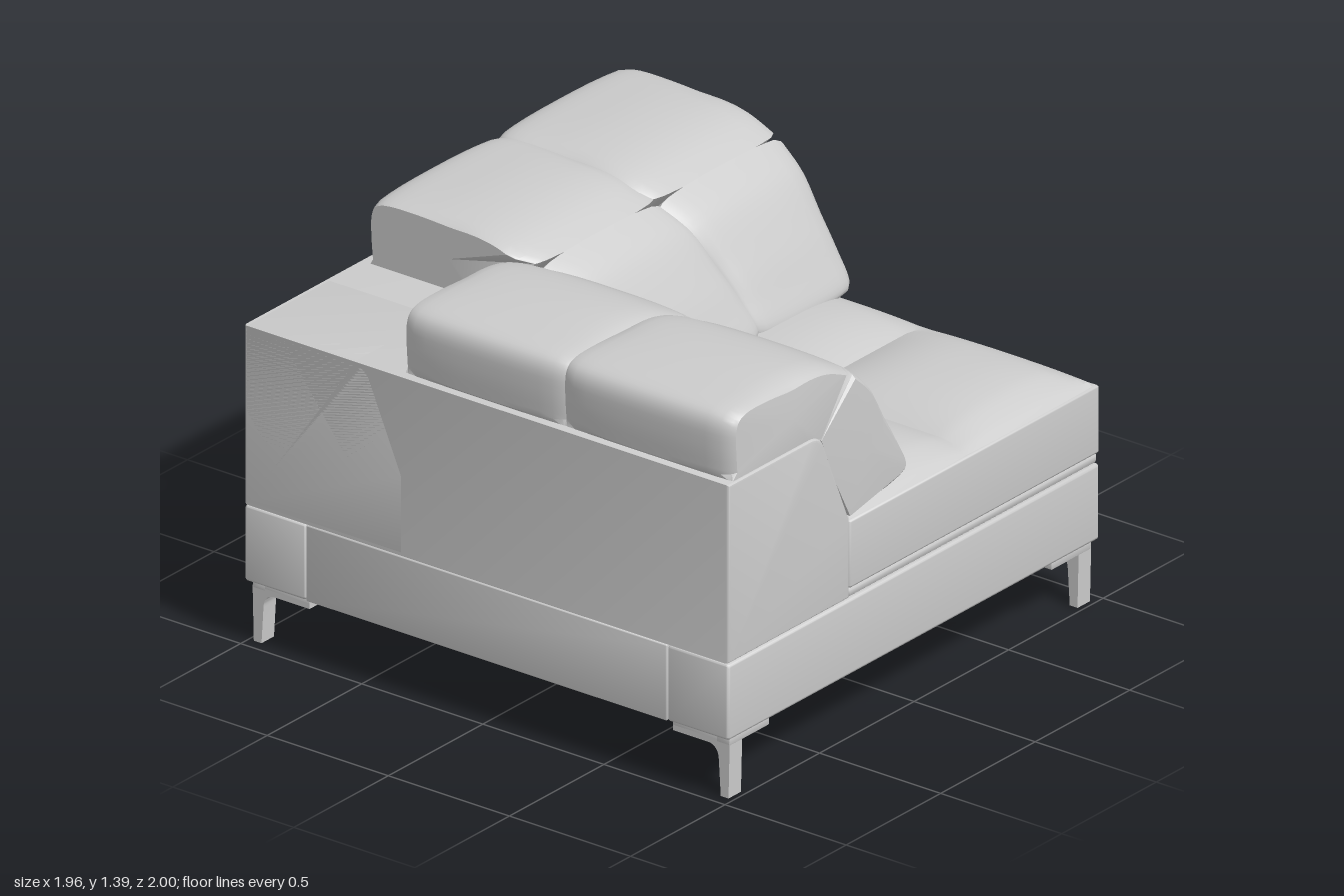
import * as THREE from 'three';
import { toCreasedNormals } from 'three/addons/utils/BufferGeometryUtils.js';
import { RoundedBoxGeometry } from 'three/addons/geometries/RoundedBoxGeometry.js';

const material = new THREE.MeshStandardMaterial({ color: 0xcccccc, side: THREE.DoubleSide });
// Half width, half depth, cushion seam, inner cushion end
const W = 0.982, D = 1, SEAM = 0.3, INNER = -0.36;

// Swap x and z, keeping faces outward
function diagonal(geometry) {
  const g = geometry.index ? geometry.toNonIndexed() : geometry.clone();
  const src = g.attributes.position.clone(), dst = g.attributes.position;
  for (let i = 0; i < src.count; i++) {
    const k = i % 3 === 0 ? i : i % 3 === 1 ? i + 1 : i - 1;
    dst.setXYZ(i, src.getZ(k), src.getY(k), src.getX(k));
  }
  return g;
}

// Loft a stuffed pad pair along z: outer curve sinks at the seam and the ends
function padGeometry(outer, base, centre, end) {
  const curve = new THREE.SplineCurve(outer.map(p => new THREE.Vector2(...p))).getPoints(32);
  const loop = [...curve, ...base.map(p => new THREE.Vector2(...p))];
  const n = loop.length, steps = 12, c = new THREE.Vector2(...centre);
  const pos = [], idx = [], stations = [];
  const place = (p, z) => {
    const z0 = Math.max(p.x, INNER);             // mitred inner end
    return z0 + (z - INNER) / (end - INNER) * (end - 0.01 - z0);
  };
  for (const [a, b] of [[INNER, SEAM], [SEAM, end]]) {
    for (let k = a === INNER ? 0 : 1; k <= steps; k++) {
      const u = 0.5 - 0.5 * Math.cos(Math.PI * k / steps), z = a + (b - a) * u;
      const w = Math.abs(2 * u - 1), tip = Math.max(0, (w - 0.88) / 0.12) ** 2;
      const depth = z > 0.88 ? 0.024 : 0.01;
      stations.push({ z, inset: 0.018 * w ** 3 + depth * tip });
    }
  }
  for (const { z, inset } of stations) {
    loop.forEach((p, i) => {
      const q = p.clone();
      if (i < curve.length) q.add(c.clone().sub(p).normalize().multiplyScalar(inset));
      pos.push(q.x, q.y, place(p, z));
    });
  }
  const last = (stations.length - 1) * n;
  for (let i = 0; i < n; i++) {
    const e = (i + 1) % n;
    for (let j = 0; j < last; j += n) idx.push(j + i, j + n + i, j + e, j + e, j + n + i, j + n + e);
    idx.push(last + n, i, e, last + n + 1, last + e, last + i);
  }
  pos.push(c.x, c.y, place(c, INNER), c.x, c.y, end);
  const g = new THREE.BufferGeometry();
  g.setAttribute('position', new THREE.Float32BufferAttribute(pos, 3));
  g.setIndex(idx);
  return g;
}

function extrude(shape, depth, bevel) {
  const g = new THREE.ExtrudeGeometry(shape, {
    depth: depth - 2 * bevel, bevelEnabled: bevel > 0, bevelThickness: bevel,
    bevelSize: bevel, bevelOffset: -bevel, bevelSegments: 3, curveSegments: 8,
  });
  return g.translate(0, 0, -depth / 2 + bevel);
}

// Sloped frame section, from its outer face at x = -edge to the seat
function frameGeometry(edge, half) {
  const s = new THREE.Shape();
  s.moveTo(-edge, 0.497);
  s.lineTo(-0.34, 0.497);
  s.lineTo(-0.34, 0.785);
  s.lineTo(-0.47, 1.09);
  s.quadraticCurveTo(-0.49, 1.14, -0.545, 1.14);
  s.lineTo(-edge, 1.14);
  return extrude(s, 2 * half, 0.012);
}

const headGeometry = (edge, end) => padGeometry(
  [[0.02 - edge, 1.15], [0.012 - edge, 1.25], [0.018 - edge, 1.335], [0.065 - edge, 1.375], [-0.79, 1.389],
    [-0.65, 1.393], [-0.515, 1.383], [-0.405, 1.356], [-0.303, 1.305]],
  [[-0.477, 1.118], [-0.545, 1.137], [0.035 - edge, 1.137]], [-0.64, 1.25], end);

const lumbarGeometry = end => padGeometry(
  [[-0.305, 1.31], [-0.2, 1.22], [-0.1, 1.065], [-0.04, 0.95], [0.005, 0.85], [-0.02, 0.815], [-0.1, 0.79]],
  [[-0.325, 0.785], [-0.4, 0.93], [-0.477, 1.112]], [-0.25, 1.0], end);

// Seat top: four shallow pillows inside one rounded rim
function seatTopGeometry(lo, hiX, hiZ, y) {
  const g = new THREE.PlaneGeometry(2, 2, 56, 56).rotateX(-Math.PI / 2);
  const p = g.attributes.position;
  // Half of the grid lies on each side of the seam
  const spread = (t, hi) => SEAM + t * (t < 0 ? SEAM - lo : hi - SEAM);
  const puff = t => 1 - Math.abs(2 * Math.abs(t) - 1) ** 2.6;
  for (let i = 0; i < p.count; i++) {
    const u = p.getX(i), v = p.getZ(i);
    const x = spread(u, hiX), z = spread(v, hiZ);
    const gap = Math.min(x - lo, z - lo, hiX - x, hiZ - z);
    const rim = Math.sqrt(THREE.MathUtils.clamp(gap / 0.12, 0, 1));
    p.setXYZ(i, x, y + 0.033 * rim + 0.055 * puff(u) * puff(v), z);
  }
  return g;
}

export function createModel() {
  const model = new THREE.Group();
  model.name = 'cornerSofa';

  const add = (name, geometry, crease = 0.5, parent = model) => {
    const mesh = new THREE.Mesh(toCreasedNormals(geometry, crease), material);
    mesh.name = name;
    parent.add(mesh);
  };
  const box = (name, x0, x1, y0, y1, z0, z1, r, parent) => add(name,
    new RoundedBoxGeometry(x1 - x0, y1 - y0, z1 - z0, 3, r)
      .translate((x0 + x1) / 2, (y0 + y1) / 2, (z0 + z1) / 2), 0.6, parent);

  // Base rails with panel joints on the sides
  box('frontRail', -W, W, 0.22, 0.493, 0.746, D, 0.012);
  box('basePanel', -W, W, 0.22, 0.493, -0.744, 0.744, 0.004);
  box('backRail', -W, W, 0.22, 0.493, -D, -0.746, 0.012);

  // Upholstered frame, two wings meeting at the corner
  add('rightFrame', frameGeometry(W, D));
  add('backFrame', diagonal(frameGeometry(D, W)));

  // Head cushions
  add('rightHeadCushion', headGeometry(W, D));
  add('backHeadCushion', diagonal(headGeometry(D, W)));

  // Back cushions, mitred against each other
  add('rightBackCushion', lumbarGeometry(D));
  add('backBackCushion', diagonal(lumbarGeometry(W)));

  // Seat
  box('seatWelt', -0.34, W - 0.005, 0.496, 0.533, -0.34, D - 0.005, 0.012);
  box('seatBody', -0.34, W, 0.53, 0.775, -0.34, D, 0.01);
  add('seatTop', seatTopGeometry(-0.337, W - 0.003, D - 0.003, 0.77), 0.35);

  // Bent metal feet: curved post with a long arm, plus a side arm
  const foot = new THREE.Shape();
  foot.moveTo(0.98, 0);
  foot.lineTo(0.985, 0.2);
  foot.lineTo(0.75, 0.2);
  foot.lineTo(0.75, 0.18);
  foot.lineTo(0.9, 0.18);
  foot.quadraticCurveTo(0.938, 0.175, 0.94, 0.13);
  foot.lineTo(0.948, 0);
  const post = extrude(foot, 0.066, 0).rotateY(-Math.PI / 2).translate(0.923, 0, 0);
  for (const sx of [-1, 1]) for (const sz of [-1, 1]) {
    const leg = new THREE.Group();
    leg.name = (sz > 0 ? 'front' : 'back') + (sx > 0 ? 'Left' : 'Right') + 'Leg';
    add('post', post, 0.5, leg);
    box('sideArm', 0.747, 0.956, 0.19, 0.222, 0.93, 0.985, 0.003, leg);
    box('longArm', 0.89, 0.956, 0.197, 0.222, 0.75, 0.985, 0.003, leg);
    leg.scale.set(sx, 1, sz);
    model.add(leg);
  }
  return model;
}
